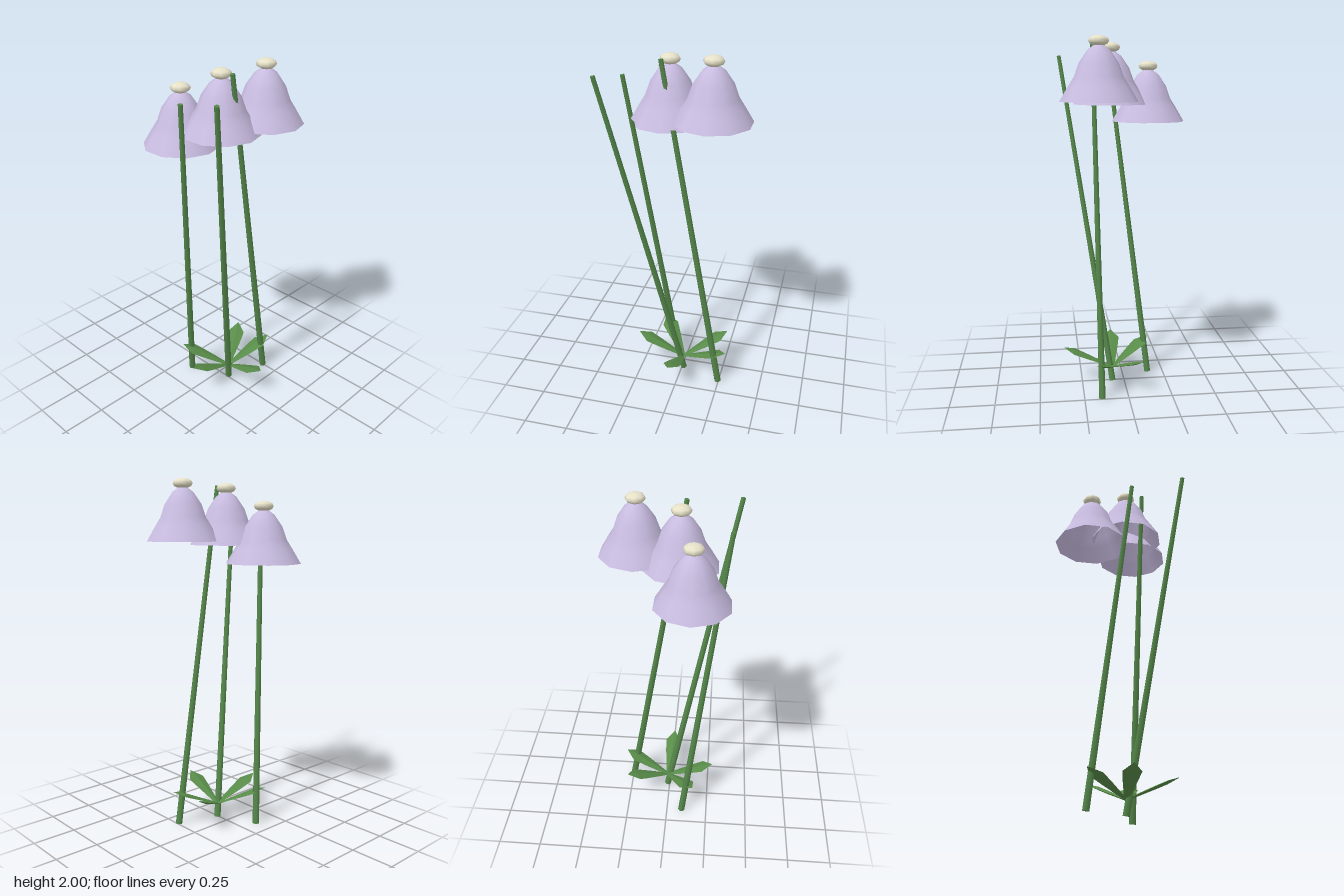
import * as THREE from 'three';

const petal = new THREE.MeshStandardMaterial({ color: 0xc8bce0, side: THREE.DoubleSide });
petal.name = 'lilac petal';
const cream = new THREE.MeshStandardMaterial({ color: 0xe6e1c8 });
cream.name = 'cream cap';
const green = new THREE.MeshStandardMaterial({ color: 0x55874a });
green.name = 'stem green';
const leafGreen = new THREE.MeshStandardMaterial({ color: 0x588b49, flatShading: true });
leafGreen.name = 'leaf green';

// Each plant: bell centre and rim height, stem foot and tip
const plants = [
  { bell: [-0.155, 1.535, 0.133], foot: [-0.156, 0.004, 0.092], tip: [0.052, 1.842, 0.323] },
  { bell: [0.068, 1.635, 0.058], foot: [0.07, 0.004, -0.012], tip: [0.347, 1.908, 0.371] },
  { bell: [0.153, 1.657, -0.185], foot: [0.151, 0.004, -0.246], tip: [0.167, 1.965, 0.08] },
];

function part(name, geometry, material, parent) {
  const mesh = new THREE.Mesh(geometry, material);
  mesh.name = name;
  parent.add(mesh);
  return mesh;
}

// Tapered stem between two points
function addStem(foot, tip, parent) {
  const a = new THREE.Vector3(...foot), b = new THREE.Vector3(...tip);
  const dir = b.clone().sub(a);
  const stem = part('stem', new THREE.CylinderGeometry(0.013, 0.02, dir.length(), 6), green, parent);
  stem.position.copy(a).add(b).multiplyScalar(0.5);
  stem.quaternion.setFromUnitVectors(new THREE.Vector3(0, 1, 0), dir.normalize());
}

// Open ten-sided bell with a flattened cap
function addBell([x, y, z], parent) {
  const profile = [[0.21, 0], [0.162, 0.08], [0.13, 0.13], [0.105, 0.2], [0.06, 0.265], [0.025, 0.29]]
    .map(([r, h]) => new THREE.Vector2(r, h));
  const flower = new THREE.Group();
  flower.name = 'bellFlower';
  flower.position.set(x, y, z);
  parent.add(flower);
  part('bell', new THREE.LatheGeometry(profile, 10, Math.PI / 2), petal, flower);
  const cap = part('cap', new THREE.SphereGeometry(0.055, 8, 6), cream, flower);
  cap.scale.y = 0.52;
  cap.position.y = 0.312;
}

// Ridged leaf blade along +x: a four-sided tube widened and flattened by a rule
function leafGeometry(length, rise) {
  const rows = [[0.01, 0.006], [0.026, 0.008], [0.04, 0.01], [0.05, 0.01], [0.002, 0.001]];
  const stations = [0, 0.28, 0.54, 0.78, 1];
  const geo = new THREE.CylinderGeometry(1, 1, 1, 4, 4);
  const pos = geo.attributes.position;
  for (let i = 0; i < pos.count; i++) {
    const k = Math.round((pos.getY(i) + 0.5) * 4);
    const t = stations[k], [w, h] = rows[k];
    // cylinder axis y becomes x, and its x becomes the blade's thickness
    pos.setXYZ(i, t * length, t * rise - pos.getX(i) * h, pos.getZ(i) * w);
  }
  geo.computeVertexNormals();
  return geo;
}

export function createModel() {
  const model = new THREE.Group();
  model.name = 'bellflowers';
  for (const p of plants) {
    addStem(p.foot, p.tip, model);
    addBell(p.bell, model);
  }

  // Rosette of five leaves around the middle stem
  const leaves = new THREE.Group();
  leaves.name = 'leaves';
  leaves.position.set(0.07, 0.088, -0.01);
  model.add(leaves);
  const blade = leafGeometry(0.286, 0.124);
  for (const angle of [5, 93, 144, 239, 286]) {
    part('leaf', blade, leafGreen, leaves).rotation.y = -THREE.MathUtils.degToRad(angle);
  }
  return model;
}
